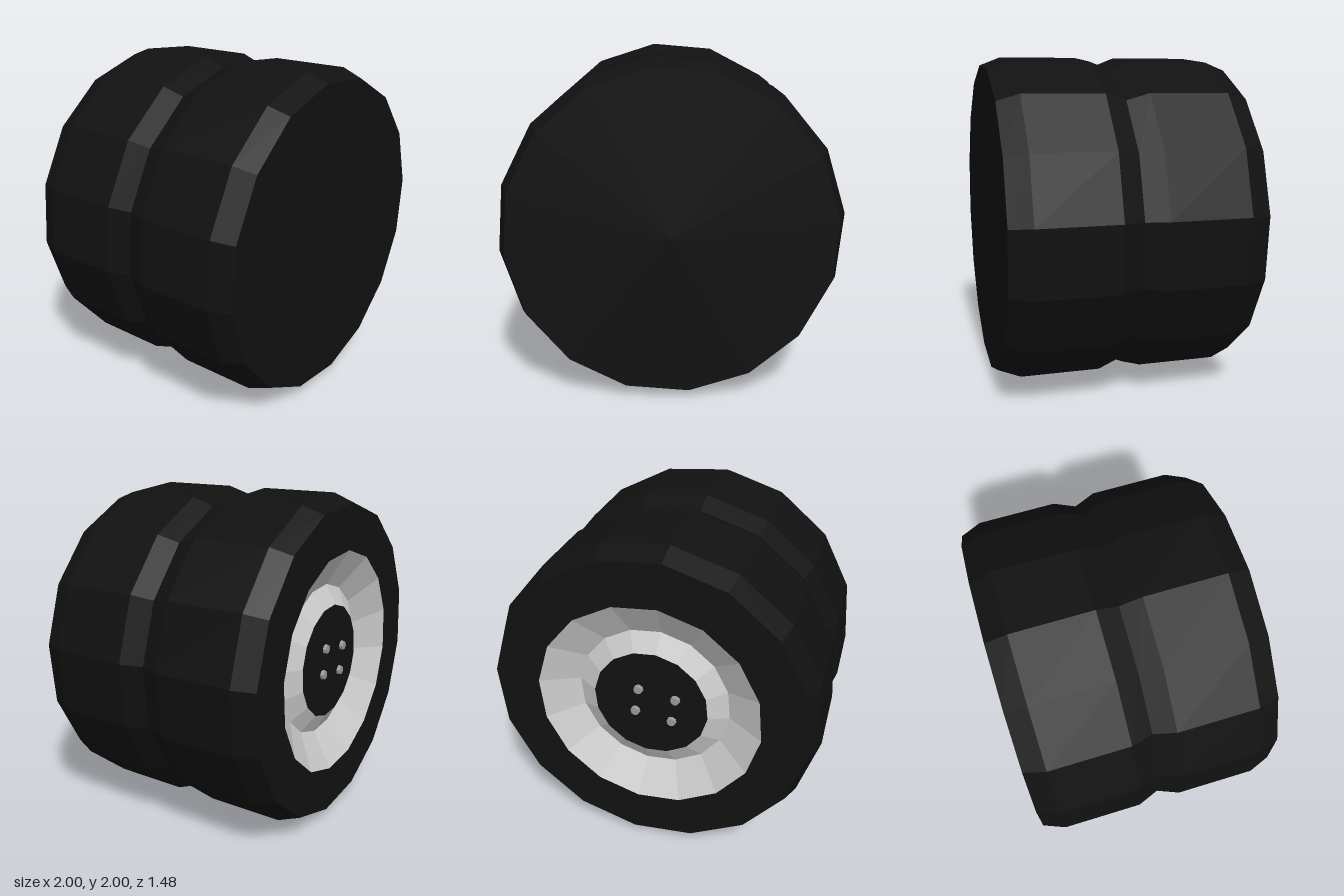
import * as THREE from 'three';

const SIDES = 16;
const TURN = 0.11; // small roll of the facets about the axle

const black = new THREE.MeshStandardMaterial({ color: 0x111111, flatShading: true });
const grey = new THREE.MeshStandardMaterial({ color: 0xcccccc, flatShading: true });
const boltGrey = new THREE.MeshStandardMaterial({ color: 0x999999, flatShading: true });

// Turn a profile of [radius, z] pairs, listed from back to front, around the axle
function turned(name, profile, material) {
  const points = profile.map(([r, z]) => new THREE.Vector2(r, z));
  const geometry = new THREE.LatheGeometry(points, SIDES);
  geometry.rotateX(Math.PI / 2);
  geometry.rotateZ(TURN);
  const mesh = new THREE.Mesh(geometry, material);
  mesh.name = name;
  return mesh;
}

export function createModel() {
  const model = new THREE.Group();
  model.name = 'dualWheel';
  const wheel = new THREE.Group();
  wheel.name = 'wheel';
  wheel.position.y = 1;
  model.add(wheel);

  // Twin tyres with a groove between them and a closed front face
  wheel.add(turned('twinTyres', [
    [0.68, -0.74], [0.955, -0.74], [1.006, -0.61], [1.006, -0.13], [0.955, 0],
    [1.006, 0.13], [1.006, 0.61], [0.955, 0.74], [0, 0.74],
  ], black));

  // Recessed rim, raised hub ring and hub plate on the back
  wheel.add(turned('rim', [[0.465, -0.61], [0.68, -0.74]], grey));
  wheel.add(turned('hubRing', [[0.348, -0.675], [0.465, -0.61]], grey));
  wheel.add(turned('hubPlate', [[0, -0.675], [0.348, -0.675]], black));

  // Four wheel bolts
  const bolts = new THREE.Group();
  bolts.name = 'wheelBolts';
  bolts.position.set(-0.03, 0, -0.68);
  bolts.rotation.z = 0.15;
  for (const sx of [-1, 1]) {
    for (const sy of [-1, 1]) {
      const geometry = new THREE.CylinderGeometry(0.032, 0.026, 0.03, 8);
      geometry.rotateX(Math.PI / 2);
      const bolt = new THREE.Mesh(geometry, boltGrey);
      bolt.name = 'wheelBolt';
      bolt.position.set(sx * 0.113, sy * 0.079, 0);
      bolts.add(bolt);
    }
  }
  wheel.add(bolts);
  return model;
}
